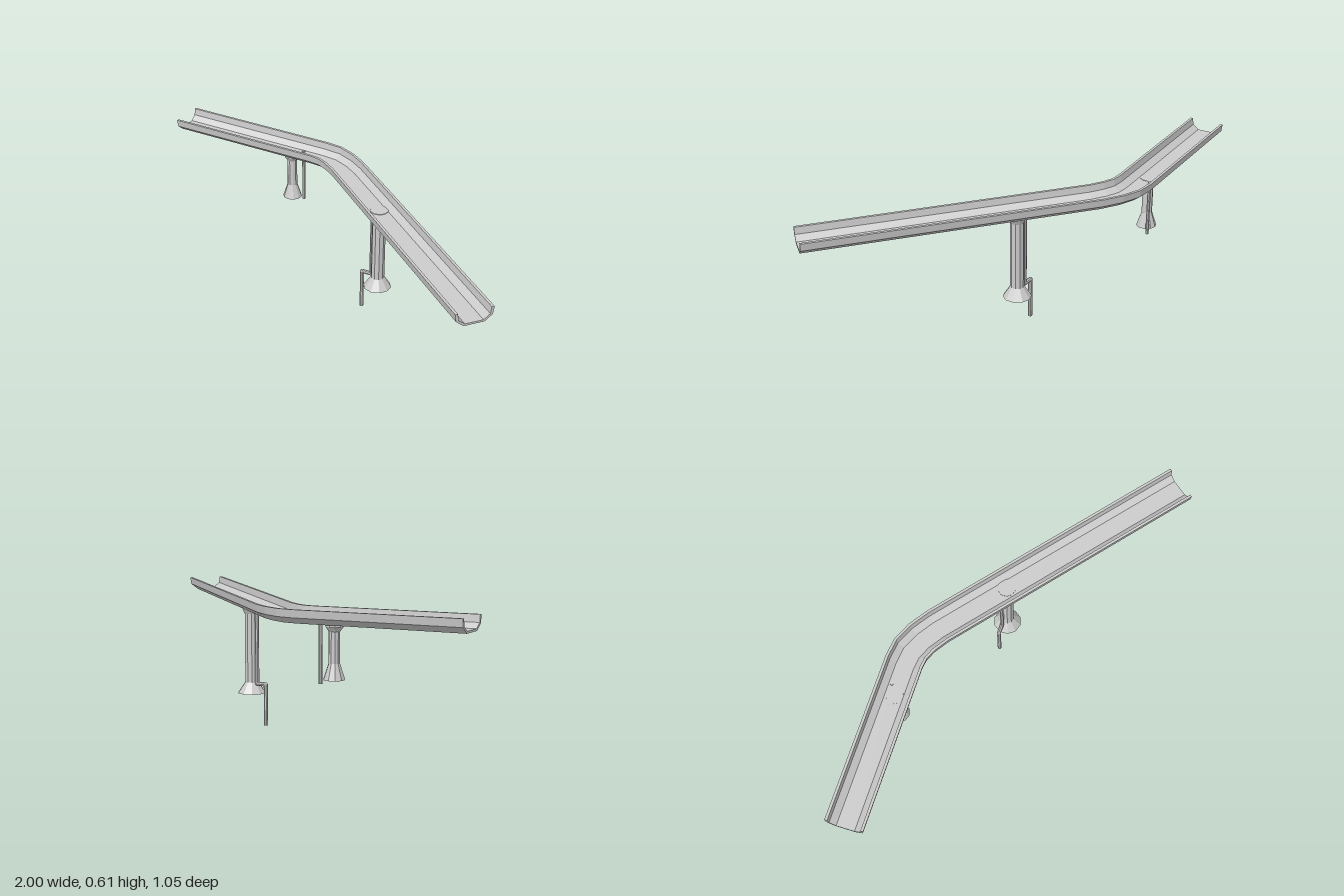
import * as THREE from 'three';

const grey = () => new THREE.MeshStandardMaterial({ color: 0xcccccc, flatShading: true });

// Gutter cross-section (sideways, up): matching outer and inner skins, left to right
const outer = [[-0.084, 0.061], [-0.079, 0.027], [-0.045, 0], [0.045, 0], [0.079, 0.027], [0.084, 0.061]];
const inner = [[-0.072, 0.061], [-0.068, 0.03], [-0.04, 0.009], [0.04, 0.009], [0.068, 0.03], [0.072, 0.061]];

// Centre line of the gutter's underside
const path = [
  [-1, 0.544, -0.435], [-0.25, 0.529, -0.445], [-0.185, 0.528, -0.438],
  [-0.12, 0.527, -0.41], [-0.05, 0.526, -0.364], [0.946, 0.521, 0.453],
].map((p) => new THREE.Vector3(...p));

// Sweeps the closed cross-section along the path with mitred joints
function channelGeometry() {
  const loop = [...outer, ...inner.slice().reverse()];
  const n = loop.length;
  const half = outer.length;
  const normalOf = (a, b) => new THREE.Vector3(-(b.z - a.z), 0, b.x - a.x).normalize();
  const rings = path.map((p, i) => {
    const before = normalOf(path[Math.max(i - 1, 0)], path[Math.max(i, 1)]);
    const k = Math.min(i, path.length - 2);
    const after = normalOf(path[k], path[k + 1]);
    const side = before.clone().add(after).normalize();
    const stretch = 1 / side.dot(after);
    return loop.map(([u, v]) => p.clone().addScaledVector(side, u * stretch).setY(p.y + v));
  });
  const out = [];
  const tri = (...pts) => pts.forEach((q) => out.push(q.x, q.y, q.z));
  const quad = (a, b, c, d) => { tri(a, b, c); tri(a, c, d); };
  for (let i = 0; i < rings.length - 1; i++) {
    for (let j = 0; j < n; j++) {
      const k = (j + 1) % n;
      quad(rings[i][j], rings[i + 1][j], rings[i + 1][k], rings[i][k]);
    }
  }
  // End faces between the two skins
  const first = rings[0];
  const last = rings[rings.length - 1];
  for (let j = 0; j < half - 1; j++) {
    quad(first[j], first[j + 1], first[n - 2 - j], first[n - 1 - j]);
    quad(last[n - 1 - j], last[n - 2 - j], last[j + 1], last[j]);
  }
  const geometry = new THREE.BufferGeometry();
  geometry.setAttribute('position', new THREE.Float32BufferAttribute(out, 3));
  geometry.computeVertexNormals();
  return geometry;
}

// Faceted post with a flared foot and a collar under the gutter
function post(name, x, z, { foot, footTop, footRadius, radius, collar, collarBase, top }) {
  const profile = [
    [0, foot], [footRadius, foot], [radius, footTop], [radius, collarBase],
    [collar, collarBase + 0.02], [collar, top], [0, top],
  ].map((p) => new THREE.Vector2(...p));
  const mesh = new THREE.Mesh(new THREE.LatheGeometry(profile, 10), grey());
  mesh.name = name;
  mesh.position.set(x, 0, z);
  return mesh;
}

// Pipe with square bends, following corner points
function pipe(name, points, radius) {
  const curve = new THREE.CurvePath();
  const pts = points.map((p) => new THREE.Vector3(...p));
  const group = new THREE.Group();
  group.name = name;
  for (let i = 0; i < pts.length - 1; i++) {
    const run = new THREE.Vector3().subVectors(pts[i + 1], pts[i]);
    const mesh = new THREE.Mesh(new THREE.CylinderGeometry(radius, radius, run.length(), 8), grey());
    mesh.position.copy(pts[i]).addScaledVector(run, 0.5);
    mesh.quaternion.setFromUnitVectors(new THREE.Vector3(0, 1, 0), run.clone().normalize());
    mesh.name = 'pipeRun';
    group.add(mesh);
    // Elbow at each inner corner
    if (i > 0) {
      const elbow = new THREE.Mesh(new THREE.SphereGeometry(radius, 8, 6), grey());
      elbow.position.copy(pts[i]);
      elbow.name = 'pipeElbow';
      group.add(elbow);
    }
  }
  return group;
}

export function createModel() {
  const model = new THREE.Group();
  model.name = 'gutterOnPosts';

  const channel = new THREE.Mesh(channelGeometry(), grey());
  channel.name = 'channel';
  model.add(channel);

  model.add(post('shortPost', -0.393, -0.44, {
    foot: 0.305, footTop: 0.372, footRadius: 0.046, radius: 0.024,
    collar: 0.038, collarBase: 0.502, top: 0.542,
  }));
  model.add(post('tallPost', 0.232, -0.142, {
    foot: 0.14, footTop: 0.19, footRadius: 0.064, radius: 0.031,
    collar: 0.041, collarBase: 0.502, top: 0.536,
  }));

  model.add(pipe('shortPipe', [[-0.346, 0.545, -0.47], [-0.346, 0.287, -0.47]], 0.008));
  model.add(pipe('tallPipe', [
    [0.193, 0.53, -0.155], [0.193, 0.187, -0.155], [0.146, 0.187, -0.155], [0.146, 0, -0.155],
  ], 0.0095));

  return model;
}
